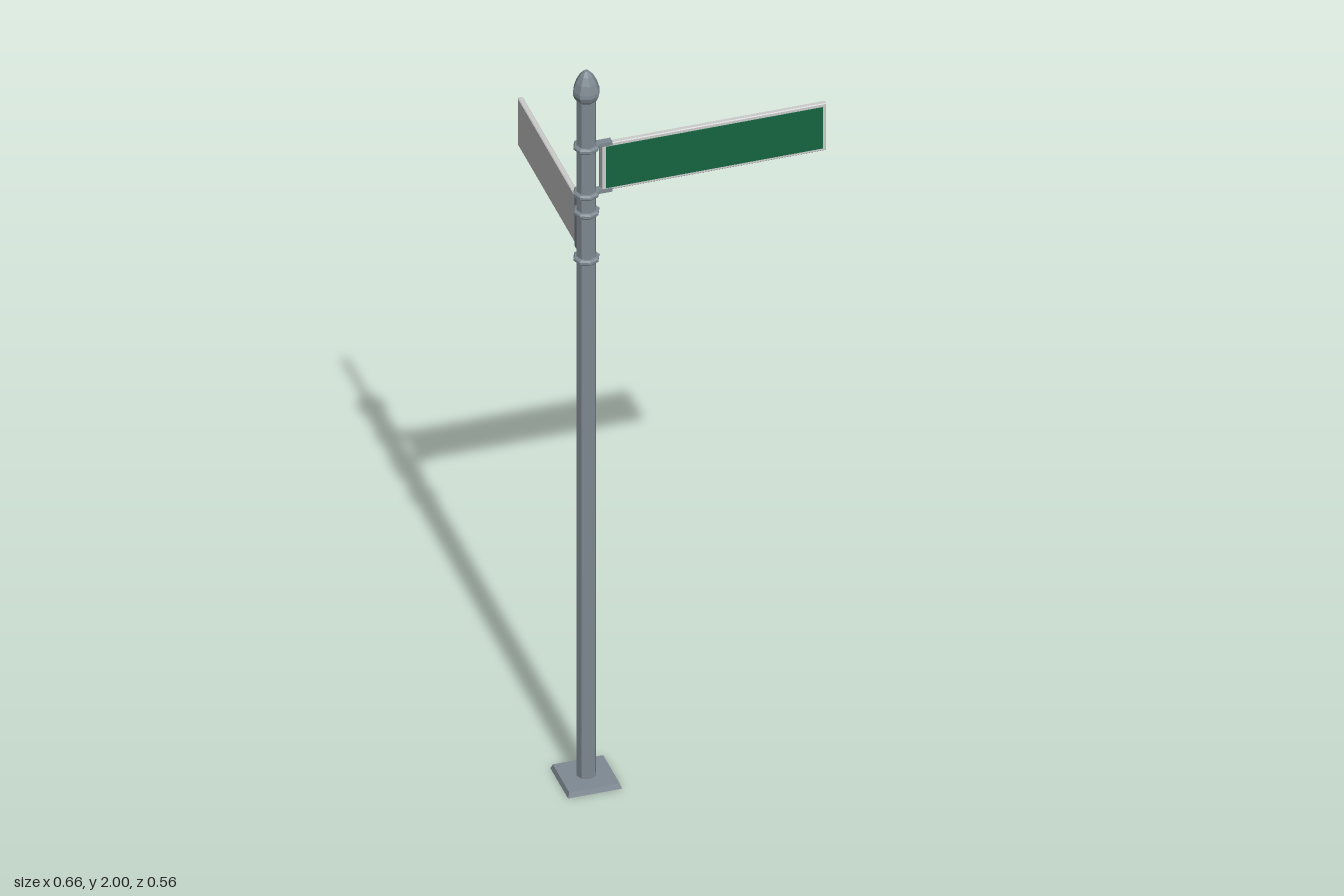
import * as THREE from 'three';

const steel = new THREE.MeshStandardMaterial({ color: 0x7f8a92, flatShading: true });
const grey = new THREE.MeshStandardMaterial({ color: 0xcccccc, flatShading: true });
const green = new THREE.MeshStandardMaterial({ color: 0x156440, flatShading: true });

function add(parent, name, geometry, material, x = 0, y = 0, z = 0) {
  const mesh = new THREE.Mesh(geometry, material);
  mesh.name = name;
  mesh.position.set(x, y, z);
  parent.add(mesh);
  return mesh;
}

// Eight-sided turned part from [radius, height] pairs
function turned(points) {
  return new THREE.LatheGeometry(points.map(([r, y]) => new THREE.Vector2(r, y)), 8);
}

// Plate with chamfered edges, centred on the origin
function chamferedPlate(w, h, d, c) {
  const a = w / 2 - c, b = h / 2 - c;
  const shape = new THREE.Shape([[-a, -b], [a, -b], [a, b], [-a, b]].map(p => new THREE.Vector2(...p)));
  return new THREE.ExtrudeGeometry(shape, {
    depth: d - 2 * c, bevelEnabled: true, bevelSize: c, bevelThickness: c, bevelSegments: 1,
  }).translate(0, 0, -d / 2 + c);
}

// Street sign reaching out along +x, with its face towards +z
function makeSign(name, start, end, height) {
  const sign = new THREE.Group();
  sign.name = name;
  const w = end - start, mid = (start + end) / 2;
  add(sign, 'signFrame', chamferedPlate(w, height, 0.013, 0.002), grey, mid);
  add(sign, 'signFace', new THREE.BoxGeometry(w - 0.018, height - 0.018, 0.004), green, mid, 0, 0.0075);
  add(sign, 'bracketBack', new THREE.BoxGeometry(0.027, height, 0.003), steel, 0.0475, 0, -0.0075);
  for (const s of [-1, 1]) {
    const y = s * (height / 2 - 0.001);
    add(sign, 'bracketClip', new THREE.BoxGeometry(0.042, 0.01, 0.018), steel, 0.041, y);
    // Clamp ring around the pole
    add(sign, 'clampRing', turned([
      [0.02, -0.007], [0.028, -0.007], [0.032, -0.003], [0.032, 0.003], [0.028, 0.007], [0.02, 0.007],
    ]), steel, 0, y);
  }
  return sign;
}

export function createModel() {
  const model = new THREE.Group();
  model.name = 'streetSignPost';
  const post = new THREE.Group();
  post.name = 'post';
  post.position.set(-0.262, 0, 0.214);
  model.add(post);

  // Square foot with sloped edges
  const base = new THREE.CylinderGeometry(0.062 * Math.SQRT2, 0.0665 * Math.SQRT2, 0.013, 4);
  add(post, 'basePlate', base.rotateY(Math.PI / 4), steel, 0, 0.0065);

  add(post, 'pole', new THREE.CylinderGeometry(0.0235, 0.0235, 1.92, 8), steel, 0, 0.965);

  // Pointed cap
  add(post, 'finial', turned([
    [0.022, 1.918], [0.028, 1.925], [0.033, 1.938], [0.0325, 1.948],
    [0.026, 1.97], [0.016, 1.989], [0.006, 2.0], [0, 2.0],
  ]), steel);

  // Two signs at right angles
  const upper = makeSign('upperSign', 0.037, 0.589, 0.133);
  upper.position.y = 1.722;
  const lower = makeSign('lowerSign', 0.035, 0.497, 0.133);
  lower.position.y = 1.539;
  lower.rotation.y = Math.PI / 2;
  post.add(upper, lower);
  return model;
}
